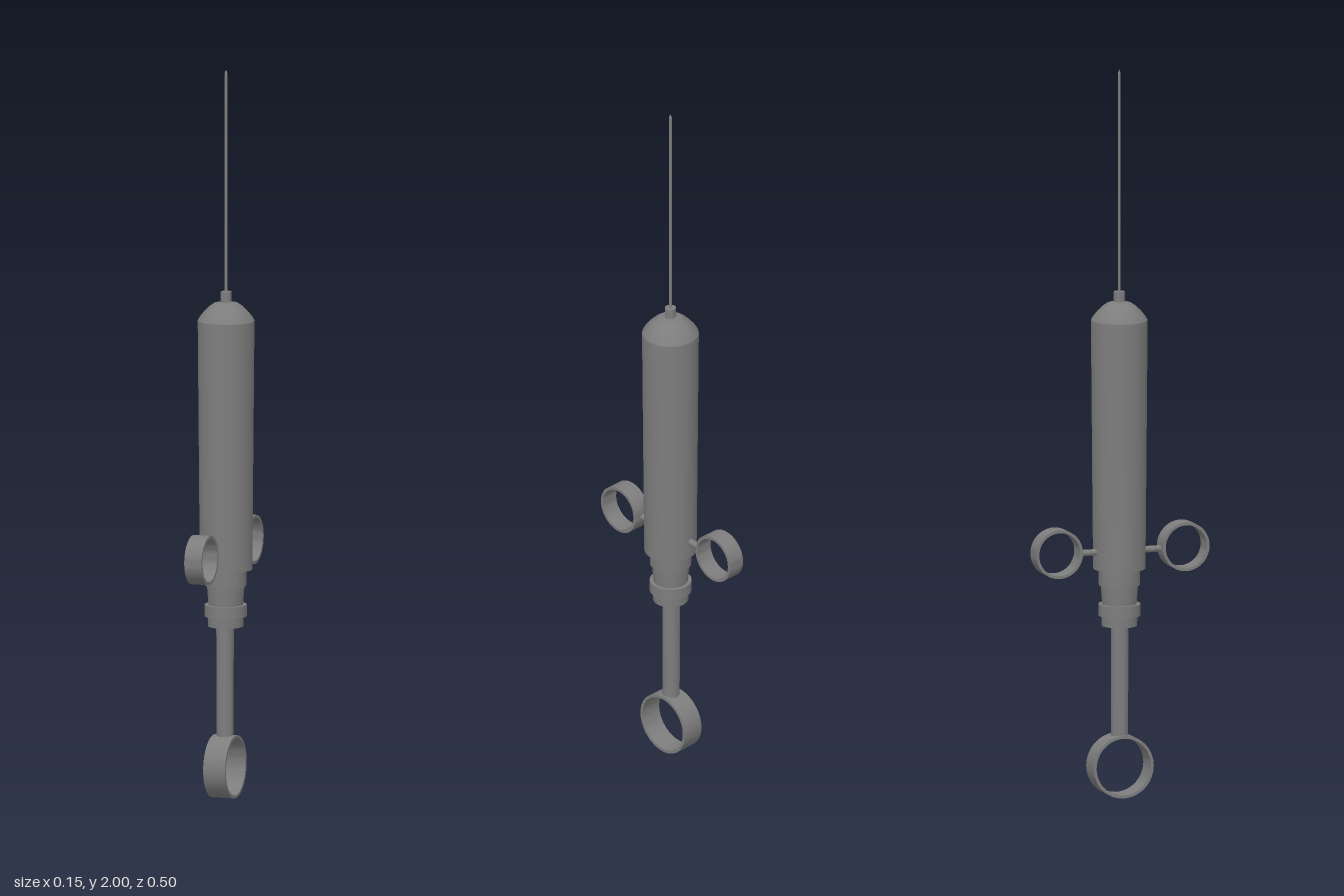
import * as THREE from 'three';
import { toCreasedNormals } from 'three/addons/utils/BufferGeometryUtils.js';

const material = new THREE.MeshStandardMaterial({ color: 0x7d7d7d });

// Turned part from [radius, height] pairs, listed bottom to top.
function turned(name, profile, segments = 40) {
  const points = profile.map(([r, y]) => new THREE.Vector2(r, y));
  const geometry = toCreasedNormals(new THREE.LatheGeometry(points, segments), 0.3);
  const mesh = new THREE.Mesh(geometry, material);
  mesh.name = name;
  return mesh;
}

// Thin flat band whose axis runs along x.
function fingerRing(name, radius, width, x, y, z) {
  const inner = radius - 0.008, h = width / 2;
  const ring = turned(name, [[inner, -h], [radius, -h], [radius, h], [inner, h], [inner, -h]], 48);
  ring.rotation.z = Math.PI / 2;
  ring.position.set(x, y, z);
  return ring;
}

export function createModel() {
  const model = new THREE.Group();
  model.name = 'ringSyringe';

  // Barrel with a slight taper and rounded shoulder
  model.add(turned('barrel', [
    [0, 0.628], [0.071, 0.628], [0.0725, 0.78], [0.077, 1.311], [0.072, 1.32],
    [0.06, 1.335], [0.046, 1.349], [0.033, 1.358], [0.016, 1.362], [0, 1.362],
  ]));

  // Needle and its hub
  model.add(turned('needleHub', [[0, 1.35], [0.015, 1.35], [0.015, 1.39], [0, 1.39]], 24));
  model.add(turned('needle', [[0, 1.38], [0.004, 1.38], [0.004, 1.99], [0, 2]], 12));

  // Stepped collar closing the barrel
  const collar = turned('collar', [
    [0, 0.471], [0.048, 0.471], [0.049, 0.499], [0.057, 0.499], [0.057, 0.531],
    [0.047, 0.531], [0.051, 0.583], [0.056, 0.583], [0.056, 0.635], [0, 0.635],
  ]);
  collar.position.x = -0.001;
  model.add(collar);

  // Plunger rod and thumb ring
  const rod = turned('plungerRod', [[0, 0.165], [0.023, 0.165], [0.024, 0.476], [0, 0.476]], 24);
  rod.position.x = -0.003;
  model.add(rod);
  model.add(fingerRing('thumbRing', 0.086, 0.063, -0.003, 0.086, 0.001));

  // Finger rings on short arms, front and back
  for (const side of [1, -1]) {
    const label = side > 0 ? 'front' : 'back';
    const arm = turned(label + 'Arm', [[0, 0.05], [0.009, 0.05], [0.009, 0.119], [0, 0.119]], 20);
    arm.rotation.x = side * Math.PI / 2;
    arm.position.set(-0.007, 0.677, 0);
    model.add(arm);
    model.add(fingerRing(label + 'FingerRing', 0.067, 0.05, -0.006 + side * 0.001, 0.681, side * 0.182));
  }
  return model;
}
